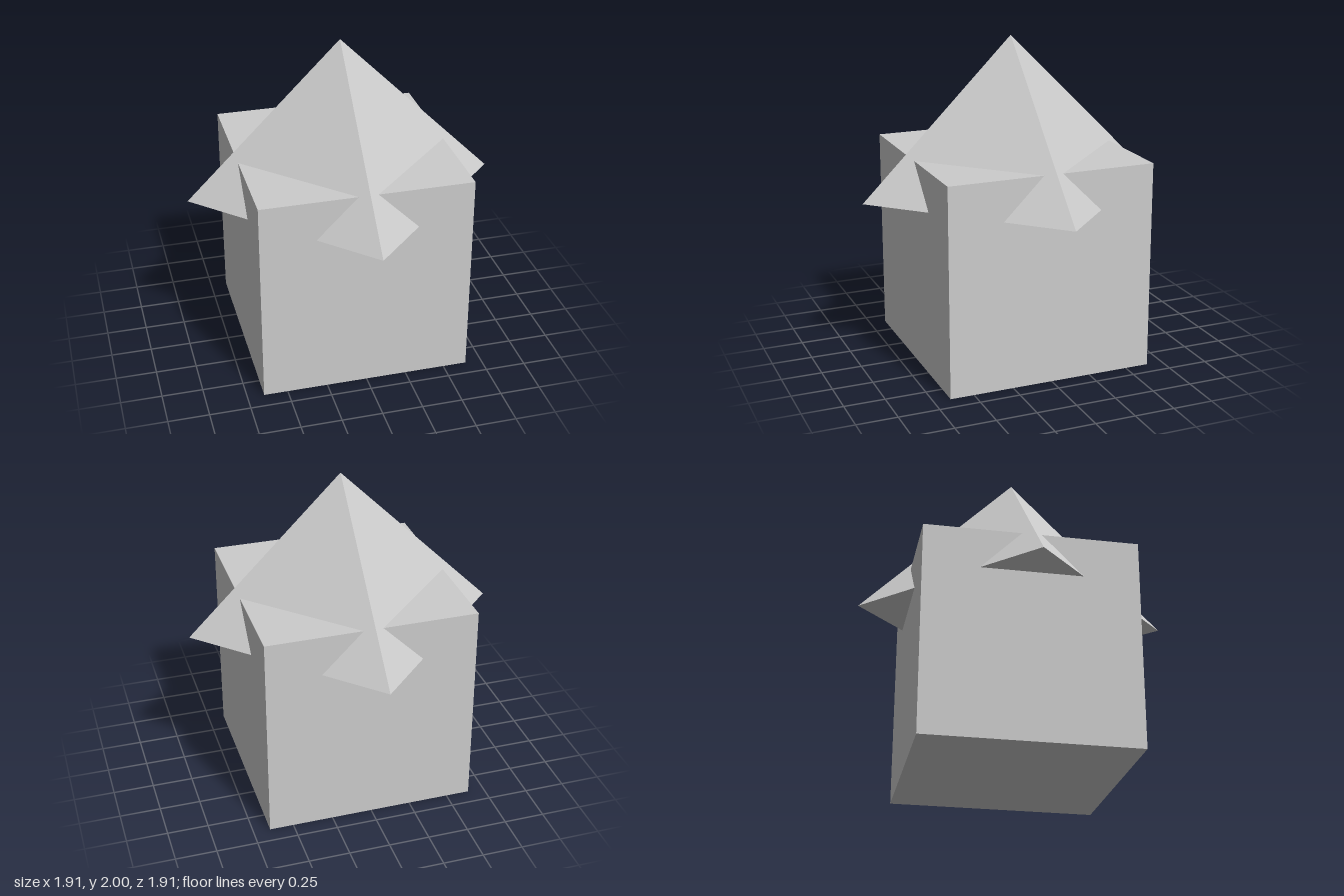
import * as THREE from 'three';

const BODY = 1.294; // edge of the cubic body
const ROOF = 0.956; // roof height, equal to its corner radius

export function createModel() {
  const model = new THREE.Group();
  model.name = 'house';
  const material = new THREE.MeshStandardMaterial({ color: 0xcccccc, flatShading: true });

  // Cubic body standing on the ground
  const body = new THREE.Mesh(new THREE.BoxGeometry(BODY, BODY, BODY), material);
  body.name = 'body';
  body.position.y = BODY / 2;
  model.add(body);

  // Four-sided roof, its corners pointing over the middle of each wall
  const roof = new THREE.Mesh(new THREE.ConeGeometry(ROOF, ROOF, 4), material);
  roof.name = 'roof';
  roof.position.y = 2 - ROOF / 2;
  model.add(roof);

  return model;
}
